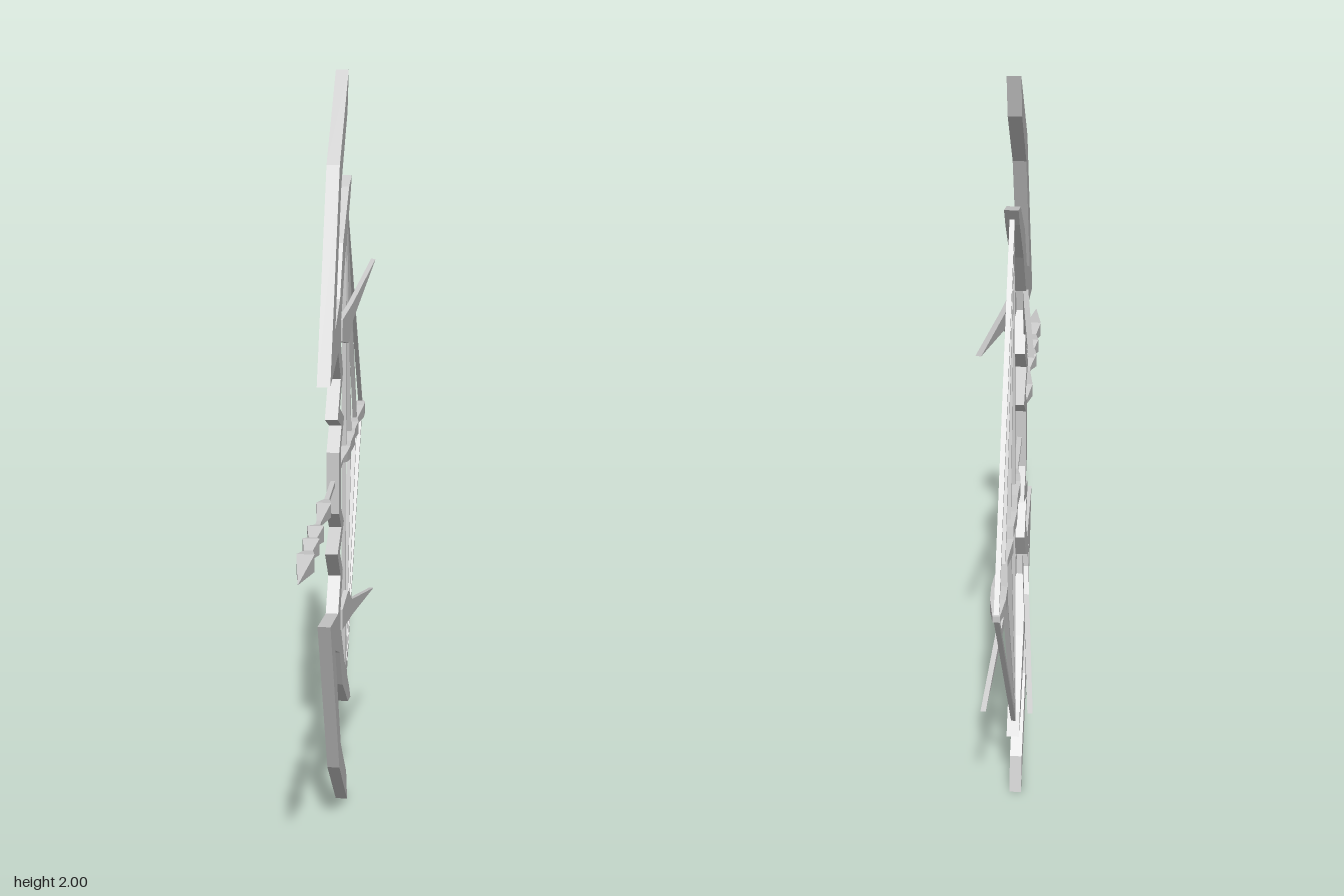
import * as THREE from 'three';

const mat = new THREE.MeshStandardMaterial({ color: 0xcccccc, flatShading: true });
const MID = 1; // height of the mirror plane between the two limbs

function addMesh(parent, name, geometry) {
  const mesh = new THREE.Mesh(geometry, mat);
  mesh.name = name;
  parent.add(mesh);
  return mesh;
}

const mirrorY = (pts) => pts.map(([z, y]) => [z, 2 * MID - y]);

// Flat plate from a (z, y) outline, centred on x = 0
function plate(outline, thickness) {
  const shape = new THREE.Shape(outline.map(([z, y]) => new THREE.Vector2(z, y)));
  const geo = new THREE.ExtrudeGeometry(shape, { depth: thickness, bevelEnabled: false });
  geo.translate(0, 0, -thickness / 2);
  return geo.rotateY(-Math.PI / 2);
}

// Square bar along z from [z, half width] stations, z increasing
function squareLoft(stations) {
  const pts = stations.map(([z, r]) => new THREE.Vector2(r * Math.SQRT2, z));
  return new THREE.LatheGeometry(pts, 4, Math.PI / 4).rotateX(Math.PI / 2);
}

// Thin square string between two (z, y) points
function stringBetween([z0, y0], [z1, y1]) {
  const a = new THREE.Vector3(0, y0, z0);
  const dir = new THREE.Vector3(0, y1, z1).sub(a);
  const geo = new THREE.CylinderGeometry(0.008, 0.008, dir.length(), 4, 1);
  geo.rotateY(Math.PI / 4);
  geo.rotateX(Math.atan2(dir.z, dir.y));
  return geo.translate(0, (y0 + y1) / 2, (z0 + z1) / 2);
}

export function createModel() {
  const bow = new THREE.Group();
  bow.name = 'bow';

  // Bow frame: zigzag grip, outer blade and inner limb, mirrored downwards
  const upper = [
    [0.05, 1.08], [-0.01, 1.135], [0.09, 1.175], [0.01, 1.26], [0.075, 1.34],
    [0.27, 1.3], [0.04, 1.79], [-0.19, 2], [-0.16, 1.9], [0, 1.74],
    [0.15, 1.41], [0.03, 1.465], [-0.05, 1.59], [-0.21, 1.71], [-0.285, 1.73],
    [-0.245, 1.68], [-0.1, 1.54], [0, 1.41], [0.01, 1.355], [-0.05, 1.265],
    [0.03, 1.19], [-0.08, 1.14], [0, 1.08],
  ];
  addMesh(bow, 'frame', plate([...upper, ...mirrorY(upper).reverse()], 0.032));

  // Four backward spikes, splayed outwards in pairs
  const spike = [
    [0.01, 1.41], [-0.14, 1.425], [-0.5, 1.48], [-0.14, 1.38], [-0.08, 1.333], [0.01, 1.355],
  ];
  for (const [half, outline] of [['upper', spike], ['lower', mirrorY(spike)]]) {
    for (const side of [1, -1]) {
      const geo = plate(outline, 0.013);
      const p = geo.attributes.position;
      for (let i = 0; i < p.count; i++) p.setX(i, p.getX(i) + side * (0.015 - p.getZ(i) * 0.084));
      geo.computeVertexNormals();
      addMesh(bow, `${half}${side > 0 ? 'Left' : 'Right'}Spike`, geo);
    }
  }

  // Strings fan from both limb tips to points along the arrow
  const strings = new THREE.Group();
  strings.name = 'strings';
  bow.add(strings);
  for (const z of [-0.25, -0.41, -0.59, -0.785]) {
    for (const y of [1.695, 0.305]) addMesh(strings, 'string', stringBetween([-0.255, y], [z, MID]));
  }

  // Arrow: square shaft with faceted head and tail
  const arrow = new THREE.Group();
  arrow.name = 'arrow';
  arrow.position.y = MID;
  bow.add(arrow);
  addMesh(arrow, 'shaft', squareLoft([[-0.78, 0], [-0.78, 0.006], [0.45, 0.006], [0.45, 0]]));
  addMesh(arrow, 'collar', squareLoft([[0.2, 0.006], [0.27, 0.018], [0.37, 0.006]]));
  addMesh(arrow, 'arrowHead', squareLoft([
    [0.4, 0.006], [0.45, 0.019], [0.505, 0.01], [0.54, 0.019],
    [0.595, 0.01], [0.65, 0.02], [0.79, 0],
  ]));
  addMesh(arrow, 'fletching', squareLoft([
    [-0.79, 0], [-0.79, 0.008], [-0.74, 0.017], [-0.69, 0.018], [-0.575, 0.009], [-0.5, 0.018],
    [-0.44, 0.014], [-0.38, 0.018], [-0.3, 0.015], [-0.24, 0.018], [-0.2, 0.014], [-0.16, 0.006],
  ]));

  return bow;
}
